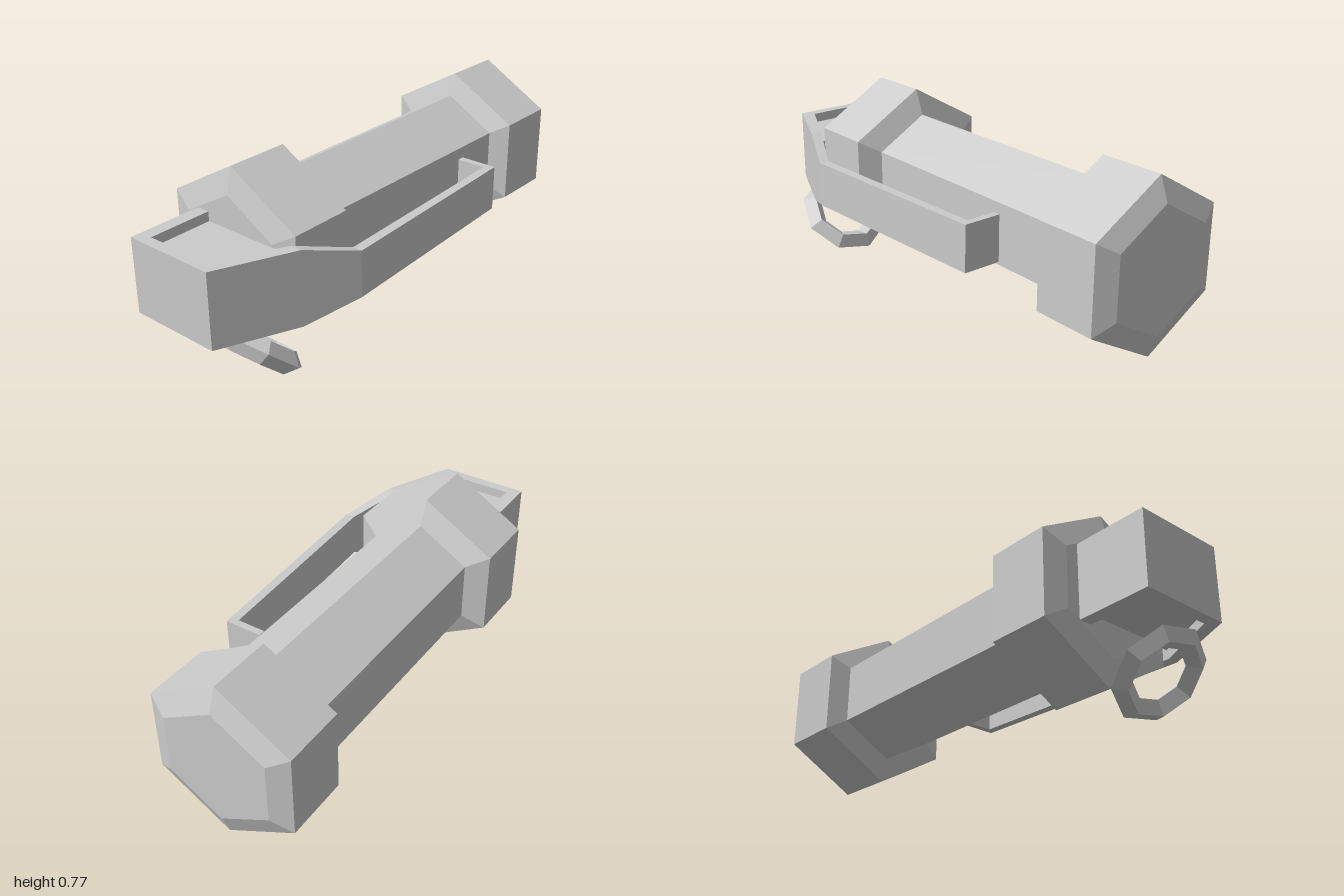
import * as THREE from 'three';

const material = new THREE.MeshStandardMaterial({ color: 0xcccccc, flatShading: true });

function addPart(group, name, geometry) {
  const mesh = new THREE.Mesh(geometry, material);
  mesh.name = name;
  group.add(mesh);
  return mesh;
}

// Six-sided solid along z from [radius, z] pairs, with a corner pointing up
function hexSolid(profile) {
  const points = profile.map(([r, z]) => new THREE.Vector2(r, z));
  return new THREE.LatheGeometry(points, 6).rotateX(Math.PI / 2).translate(-0.073, 0.422, 0);
}

// Bent strip: each section is [outerX, outerZ, innerX, innerZ, halfHeight]
function strip(sections, midY) {
  const rings = sections.map(([ox, oz, ix, iz, h]) => [
    [ox, midY - h, oz], [ox, midY + h, oz], [ix, midY + h, iz], [ix, midY - h, iz],
  ]);
  const positions = [];
  const quad = (a, b, c, d) => positions.push(...a, ...b, ...c, ...a, ...c, ...d);
  for (let i = 0; i < rings.length - 1; i++) {
    for (let j = 0; j < 4; j++) {
      const k = (j + 1) % 4;
      quad(rings[i][j], rings[i + 1][j], rings[i + 1][k], rings[i][k]);
    }
  }
  quad(...rings[0]);
  quad(...rings[rings.length - 1].slice().reverse());
  const geometry = new THREE.BufferGeometry();
  geometry.setAttribute('position', new THREE.Float32BufferAttribute(positions, 3));
  geometry.computeVertexNormals();
  return geometry;
}

export function createModel() {
  const group = new THREE.Group();
  group.name = 'canister';

  // Hexagonal body with a bevelled collar at each end
  addPart(group, 'body', hexSolid([[0, -0.7], [0.25, -0.7], [0.25, 0.4], [0, 0.4]]));
  addPart(group, 'rearCap', hexSolid([
    [0, -1], [0.25, -1], [0.345, -0.965], [0.345, -0.7], [0.25, -0.67], [0, -0.67]]));
  addPart(group, 'frontCap', hexSolid([
    [0, 0.36], [0.25, 0.36], [0.355, 0.4], [0.355, 0.665], [0.25, 0.69], [0, 0.69]]));

  // Lever wraps around the front, narrows, and hooks inward at its tail
  addPart(group, 'lever', strip([
    [-0.235, 0.69, -0.18, 0.69, 0.153],
    [-0.235, 1, -0.18, 0.955, 0.153],
    [0.15, 1, 0.11, 0.955, 0.153],
    [0.284, 0.69, 0.236, 0.69, 0.153],
    [0.375, 0.48, 0.335, 0.48, 0.095],
    [0.33, -0.43, 0.295, -0.4, 0.095],
    [0.17, -0.43, 0.17, -0.4, 0.095],
  ], 0.422));

  // Recessed block filling the lever's front bend
  const outline = new THREE.Shape([[-0.21, 0.68], [0.26, 0.68], [0.13, 0.98], [-0.21, 0.98]]
    .map(([x, z]) => new THREE.Vector2(x, z)));
  addPart(group, 'fuseBlock', new THREE.ExtrudeGeometry(outline, { depth: 0.225, bevelEnabled: false })
    .rotateX(Math.PI / 2).translate(0, 0.535, 0));

  // Eight-sided pull ring hanging below the front
  const ring = addPart(group, 'pullRing', new THREE.TorusGeometry(0.156, 0.045, 4, 8).rotateZ(-0.17));
  ring.rotation.x = 0.85;
  ring.position.set(0.095, 0.142, 0.755);

  return group;
}
